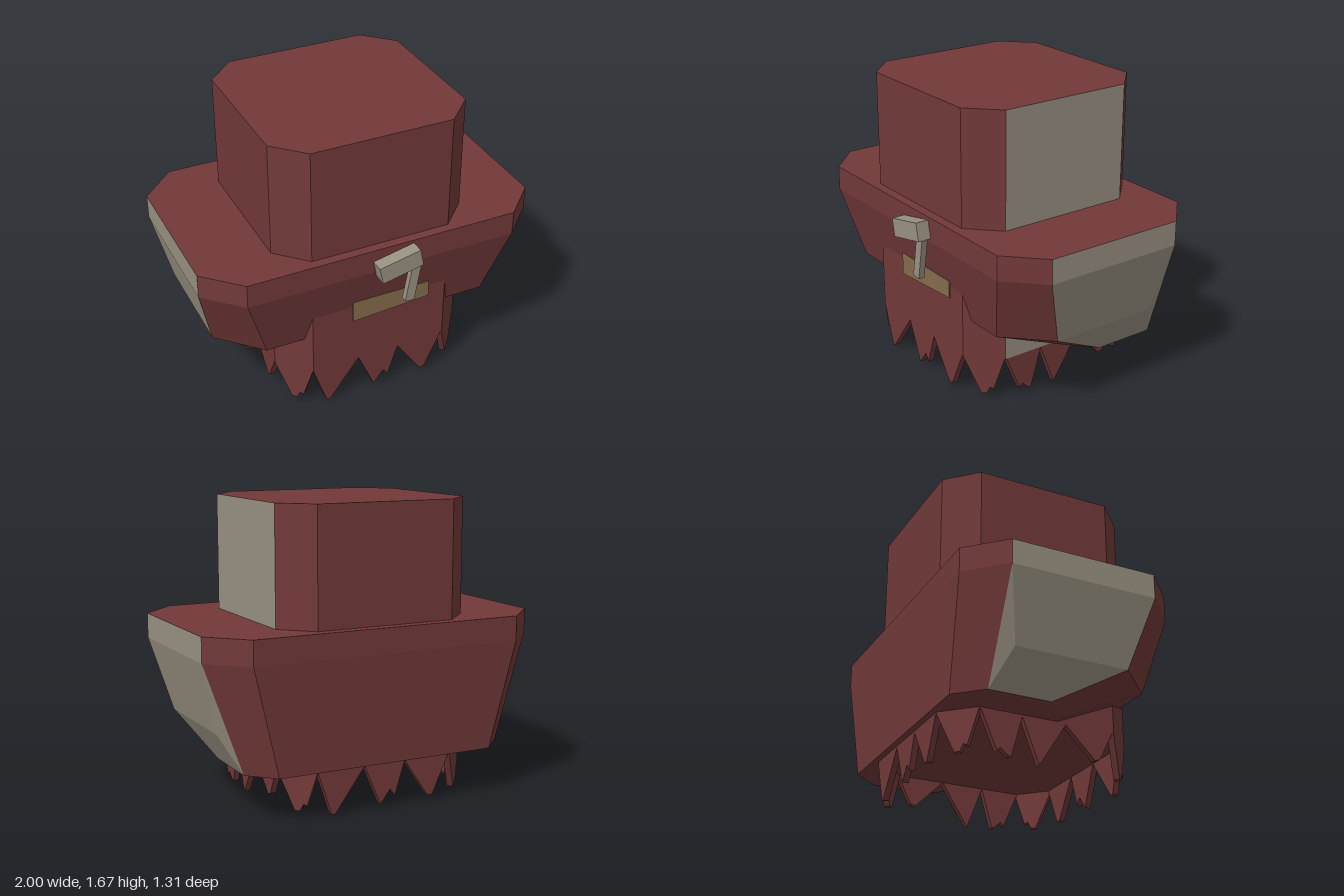
import * as THREE from 'three';

const mat = (name, color) => {
  const m = new THREE.MeshStandardMaterial({ color });
  m.name = name;
  return m;
};

// Eight-cornered ring, counter-clockwise from above, starting at the +x side
function ring(y, hx, sideFront, sideBack, backX, back, frontX, front) {
  return [
    [hx, y, sideFront], [hx, y, sideBack], [backX, y, back], [-backX, y, back],
    [-hx, y, sideBack], [-hx, y, sideFront], [-frontX, y, front], [frontX, y, front],
  ];
}

// Flat-faced mesh from convex polygons
function polygons(name, faces, material) {
  const pos = [];
  for (const f of faces)
    for (let i = 1; i < f.length - 1; i++) pos.push(...f[0], ...f[i], ...f[i + 1]);
  const g = new THREE.BufferGeometry();
  g.setAttribute('position', new THREE.Float32BufferAttribute(pos, 3));
  g.computeVertexNormals();
  const mesh = new THREE.Mesh(g, material);
  mesh.name = name;
  return mesh;
}

// Wall quad i between a lower and an upper ring
const wall = (lo, up, i) => [lo[i], lo[(i + 1) % 8], up[(i + 1) % 8], up[i]];

export function createModel() {
  const red = mat('dark red', 0x733939);
  const grey = mat('warm grey', 0x999182);
  const tan = mat('tan', 0x866d4c);
  const model = new THREE.Group();

  // Core block: one grey side
  const coreLow = ring(0.25, 0.575, 0.36, -0.43, 0.41, -0.595, 0.41, 0.525);
  const coreTop = ring(1.67, 0.575, 0.36, -0.43, 0.41, -0.595, 0.41, 0.525);
  const coreRed = [coreTop, [...coreLow].reverse()];
  for (let i = 1; i < 8; i++) coreRed.push(wall(coreLow, coreTop, i));
  model.add(polygons('core', coreRed, red));
  model.add(polygons('coreSidePanel', [wall(coreLow, coreTop, 0)], grey));

  // Flared collar: both sides grey, underside raked toward the front
  const A = ring(1.01, 1, 0.385, -0.455, 0.8, -0.655, 0.8, 0.58);
  const B = ring(0.87, 1, 0.385, -0.455, 0.8, -0.655, 0.8, 0.58);
  const C = ring(0.47, 0.9, 0.26, -0.39, 0.7, -0.639, 0.67, 0.49);
  const D = ring(0.26, 0.79, -0.13, -0.485, 0.65, -0.63, 0.63, 0.02);
  const collarRed = [A, [...D].reverse()];
  const collarGrey = [[B[1], C[1], D[1]], [B[4], D[4], C[4]]];
  for (let i = 0; i < 8; i++) {
    const list = i === 0 || i === 4 ? collarGrey : collarRed;
    list.push(wall(B, A, i));
    if (i >= 1 && i <= 3) list.push(wall(D, B, i));
    else list.push(wall(C, B, i), wall(D, C, i));
  }
  model.add(polygons('collar', collarRed, red));
  model.add(polygons('collarSidePanels', collarGrey, grey));

  // Jagged fringe: thin plates hung from each lower edge, as [along, y] outlines
  const long = [
    [[0, 0.25], [0.08, 0.01], [0.1, 0.005], [0.28, 0.25]],
    [[0.28, 0.25], [0.38, 0.02], [0.44, 0.1], [0.47, 0.06], [0.53, 0.25]],
    [[0.53, 0.25], [0.68, 0.03], [0.71, 0.03], [0.81, 0.25]],
  ];
  const side = [
    [[0.01, 0.25], [0.1, 0.04], [0.12, 0.06], [0.165, 0.02], [0.18, 0.02], [0.245, 0.25]],
    [[0.245, 0.25], [0.34, 0], [0.5, 0.25]],
    [[0.5, 0.25], [0.67, 0.08], [0.7, 0.09], [0.78, 0.25]],
  ];
  const corner = [[[0, 0.25], [0.1, 0.03], [0.13, 0.03], [0.15, 0.07], [0.17, 0.06], [0.23, 0.25]]];
  const fringe = new THREE.Group();
  fringe.name = 'fringe';
  for (let i = 0; i < 8; i++) {
    const a = coreLow[i], b = coreLow[(i + 1) % 8];
    const edge = new THREE.Group();
    edge.name = 'fringeEdge';
    edge.position.set(a[0], 0, a[2]);
    edge.rotation.y = Math.atan2(a[2] - b[2], b[0] - a[0]);
    for (const pts of i % 2 ? corner : i % 4 ? long : side) {
      const shape = new THREE.Shape(pts.map(p => new THREE.Vector2(...p)));
      const g = new THREE.ExtrudeGeometry(shape, { depth: 0.035, bevelEnabled: false });
      g.translate(0, 0, -0.035);
      const tooth = new THREE.Mesh(g, red);
      tooth.name = 'tooth';
      edge.add(tooth);
    }
    fringe.add(edge);
  }
  model.add(fringe);

  // Front plate with slanted lower edge
  const plateShape = new THREE.Shape([
    new THREE.Vector2(-0.17, 0.535), new THREE.Vector2(0.3, 0.565),
    new THREE.Vector2(0.3, 0.665), new THREE.Vector2(-0.17, 0.665),
  ]);
  const plate = new THREE.Mesh(new THREE.ExtrudeGeometry(plateShape, { depth: 0.008, bevelEnabled: false }), tan);
  plate.name = 'frontPlate';
  plate.position.z = 0.53;
  model.add(plate);

  // Bent lever: tilted head on a slim stem
  const bar = (name, w, h, d, x, y, z, tilt) => {
    const m = new THREE.Mesh(new THREE.BoxGeometry(w, h, d), grey);
    m.name = name;
    m.position.set(x, y, z);
    m.rotation.z = tilt;
    model.add(m);
  };
  bar('leverHead', 0.25, 0.105, 0.11, 0.06, 0.915, 0.602, 0.21);
  bar('leverStem', 0.055, 0.24, 0.036, 0.146, 0.772, 0.618, -0.17);

  return model;
}
